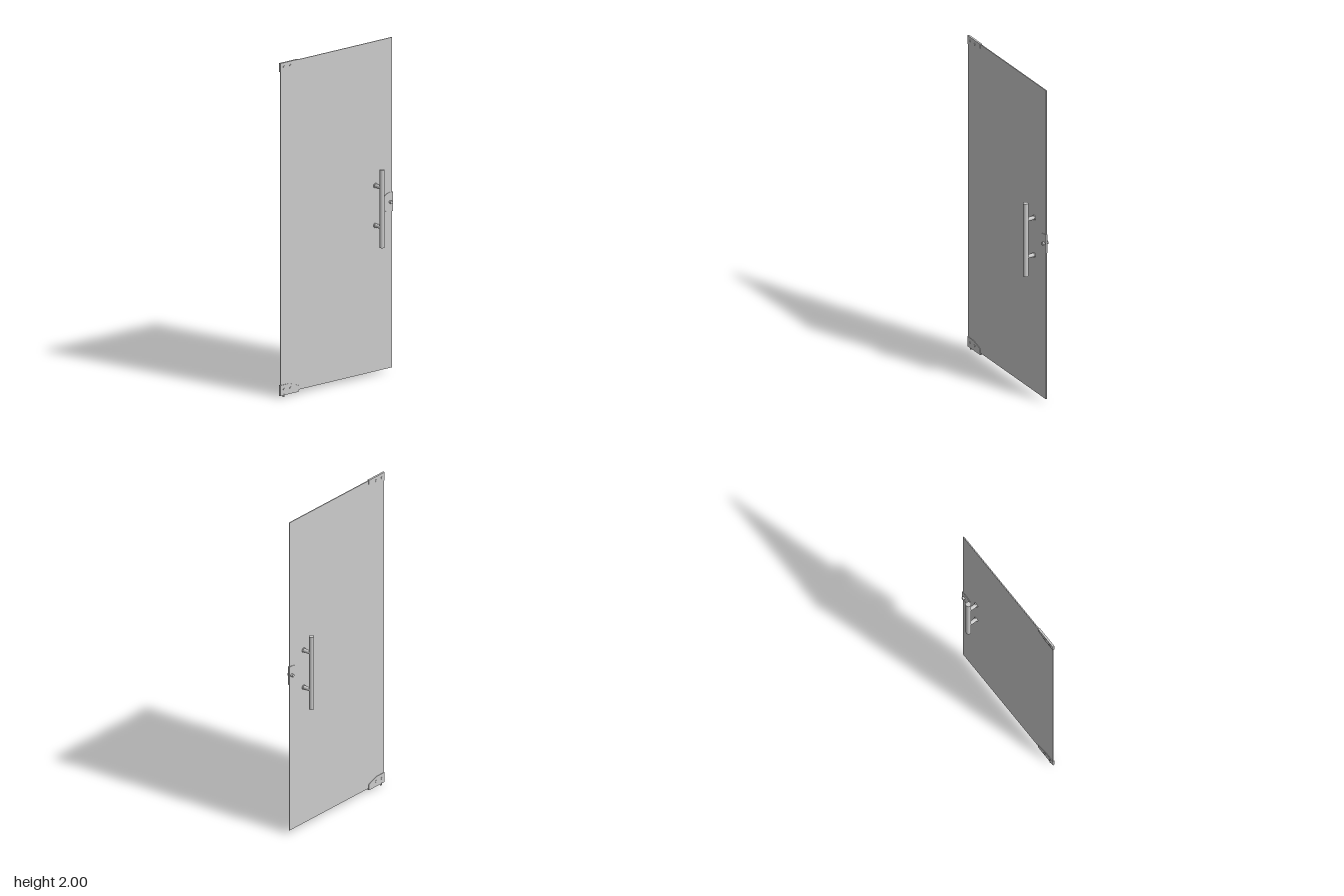
import * as THREE from 'three';

const material = new THREE.MeshStandardMaterial({ color: 0xcccccc });

function add(parent, name, geometry, x = 0, y = 0, z = 0) {
  const mesh = new THREE.Mesh(geometry, material);
  mesh.name = name;
  mesh.position.set(x, y, z);
  parent.add(mesh);
  return mesh;
}

// Flat plate with its outline in x and y, centred on z
function plate(points, depth) {
  const shape = new THREE.Shape(points.map(([x, y]) => new THREE.Vector2(x, y)));
  return new THREE.ExtrudeGeometry(shape, { depth, bevelEnabled: false }).translate(0, 0, -depth / 2);
}

// Cylinder lying along z
const rod = (radius, length) =>
  new THREE.CylinderGeometry(radius, radius, length, 32).rotateX(Math.PI / 2);

// Corner patch fitting; dir is the direction from the door edge into the glass
function patchFitting(name, edgeY, dir) {
  const group = new THREE.Group();
  group.name = name;
  const outline = [[-0.428, 0], [-0.288, 0], [-0.288, 0.028], [-0.325, 0.042], [-0.36, 0.053], [-0.428, 0.053]];
  add(group, 'patchPlate', plate(outline.map(([x, y]) => [x, edgeY + dir * y]), 0.012));
  for (const x of [-0.4, -0.35]) add(group, 'patchScrew', rod(0.007, 0.018), x, edgeY + dir * 0.025);
  return group;
}

export function createModel() {
  const door = new THREE.Group();
  door.name = 'glassDoor';

  // Glass leaf
  add(door, 'glassPanel', new THREE.BoxGeometry(0.846, 1.975, 0.006), 0, 1.0095);

  // Hinge-side fittings and floor pivot
  door.add(patchFitting('topPatch', 2, -1));
  door.add(patchFitting('bottomPatch', 0.02, 1));
  add(door, 'bottomCover', new THREE.BoxGeometry(0.14, 0.01, 0.01), -0.358, 0.015);
  add(door, 'floorPivot', new THREE.CylinderGeometry(0.006, 0.006, 0.02, 24), -0.4, 0.01);

  // Handle bars on both faces
  const handle = new THREE.Group();
  handle.name = 'handle';
  door.add(handle);
  for (const side of [-1, 1])
    add(handle, 'handleBar', new THREE.CylinderGeometry(0.0155, 0.0155, 0.465, 40), 0.297, 1.0075, side * 0.062);

  // Standoffs through the glass, with washers
  for (const y of [0.895, 1.133]) {
    add(handle, 'standoff', rod(0.0115, 0.12), 0.297, y);
    add(handle, 'washer', rod(0.0145, 0.018), 0.297, y);
  }

  // Lock plates and cylinder on the closing edge
  const lockOutline = [[0.427, 0.957], [0.427, 1.073], [0.4, 1.073], [0.38, 1.068], [0.36, 1.055],
    [0.36, 0.975], [0.38, 0.962], [0.4, 0.957]];
  for (const side of [-1, 1])
    add(door, 'lockPlate', plate(lockOutline, 0.003), 0, 0, side * 0.0045);
  add(door, 'lockCylinder', rod(0.0095, 0.038), 0.408, 1.015);

  return door;
}
